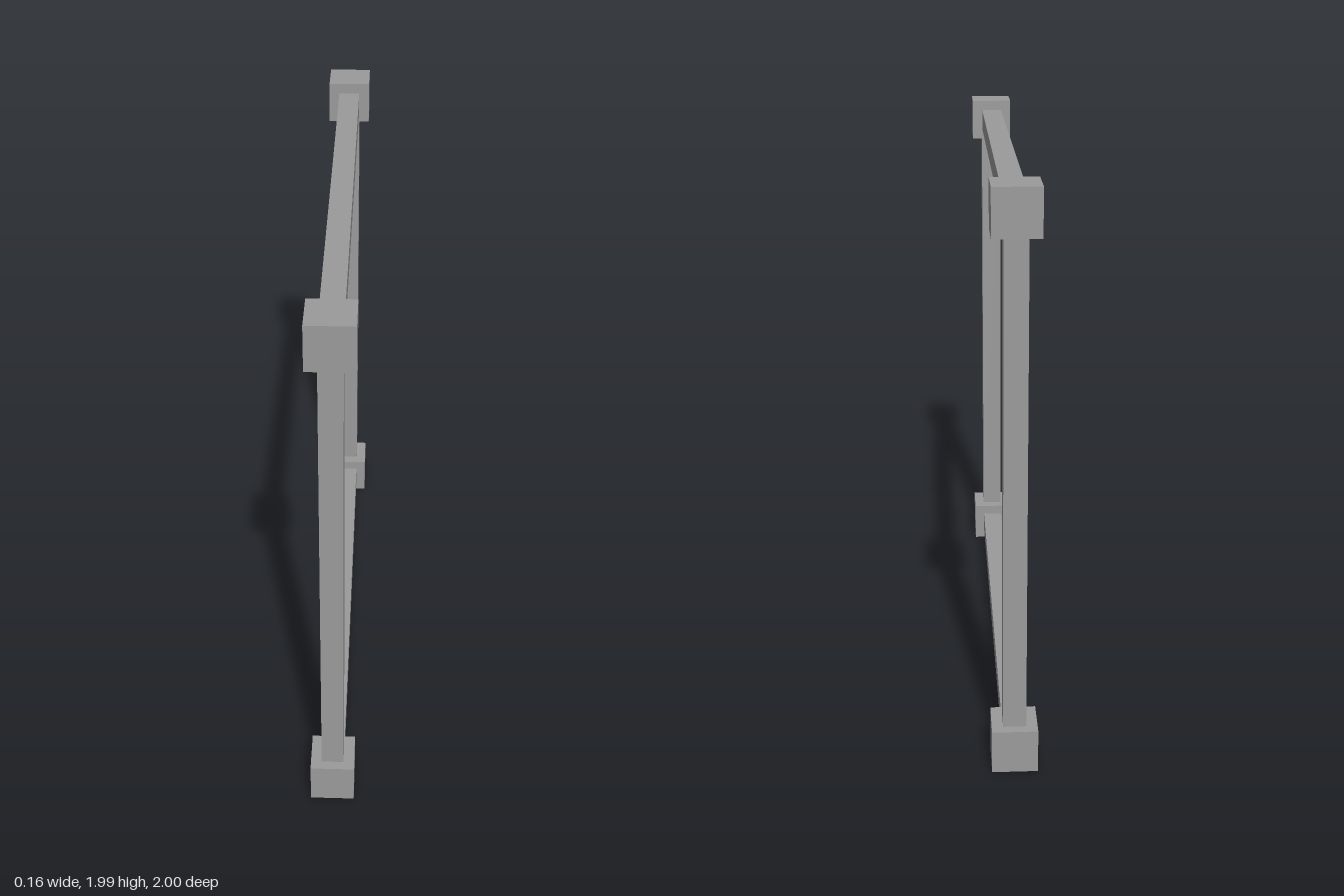
import * as THREE from 'three';

const HEIGHT = 1.992; // overall frame height
const DEPTH = 2; // overall frame depth
const JOINT = 0.155; // corner cube edge
const BAR = 0.078; // bar thickness
const JOINT_Y = (HEIGHT - JOINT) / 2; // cube distances from the frame centre
const JOINT_Z = (DEPTH - JOINT) / 2;
const POST_Z = JOINT_Z + 0.005; // posts sit slightly outward on the cubes

export function createModel() {
  const model = new THREE.Group();
  model.name = 'squareFrame';
  const material = new THREE.MeshStandardMaterial({ color: 0x9b9b9b, flatShading: true });

  const addBox = (name, height, depth, width, y, z) => {
    const mesh = new THREE.Mesh(new THREE.BoxGeometry(width, height, depth), material);
    mesh.name = name;
    mesh.position.set(0, HEIGHT / 2 + y, z);
    model.add(mesh);
  };

  for (const s of [-1, 1]) {
    // Horizontal rails at bottom and top
    addBox(s < 0 ? 'bottomRail' : 'topRail', BAR, DEPTH - 2 * JOINT, BAR, s * JOINT_Y, 0);
    // Upright posts at back and front
    addBox(s < 0 ? 'backPost' : 'frontPost', HEIGHT - 2 * JOINT, BAR, BAR, 0, s * POST_Z);
    // Corner joint cubes
    for (const t of [-1, 1]) {
      const name = (s < 0 ? 'bottom' : 'top') + (t < 0 ? 'Back' : 'Front') + 'Joint';
      addBox(name, JOINT, JOINT, JOINT, s * JOINT_Y, t * JOINT_Z);
    }
  }
  return model;
}
